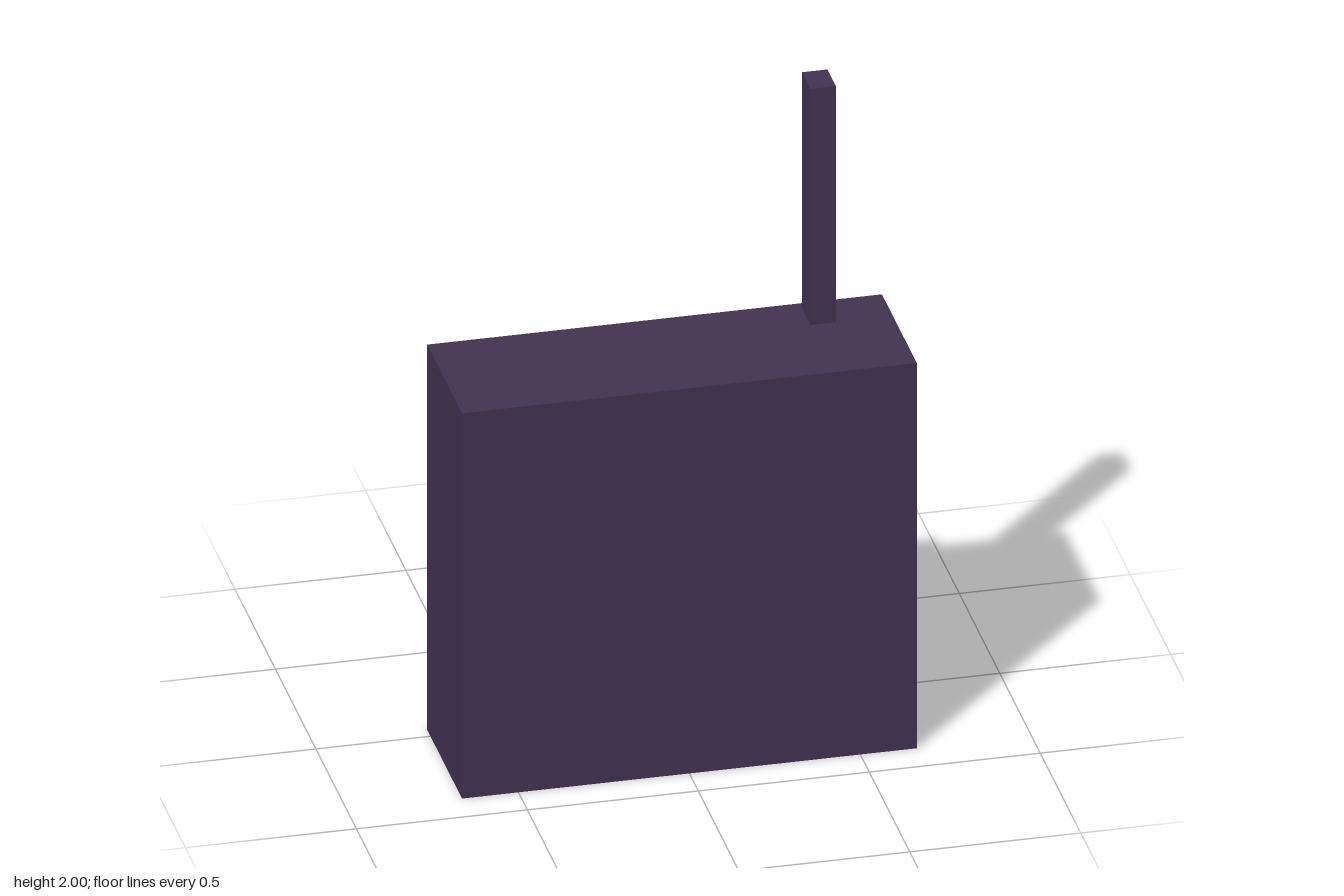
import * as THREE from 'three';

const CY = 0.62;            // height of the housing's centre
const OUT = 0.416, IN = 0.262; // half sizes of the frame and its opening
const FACE = -0.21, FLOOR = 0.04;

const paint = (color, side = THREE.FrontSide) =>
  new THREE.MeshStandardMaterial({ color, side, flatShading: true });

function add(parent, name, geometry, material) {
  const mesh = new THREE.Mesh(geometry, material);
  mesh.name = name;
  parent.add(mesh);
  return mesh;
}

function fromPoints(points) {
  const geometry = new THREE.BufferGeometry().setFromPoints(points);
  geometry.computeVertexNormals();
  return geometry;
}

// Joins rectangular rings [halfWidth, halfHeight, z] running from front to back
function loft(rings) {
  const corners = [[1, 1], [-1, 1], [-1, -1], [1, -1]];
  const at = ([w, h, z], i) =>
    new THREE.Vector3(corners[i % 4][0] * w, CY + corners[i % 4][1] * h, z);
  const points = [];
  for (let r = 0; r + 1 < rings.length; r++) {
    for (let i = 0; i < 4; i++) {
      const a = at(rings[r], i), b = at(rings[r + 1], i);
      const c = at(rings[r + 1], i + 1), d = at(rings[r], i + 1);
      points.push(a, b, c, a, c, d);
    }
  }
  return fromPoints(points);
}

// Slanted bands along a strip; place(u, v) maps length and 0..1 width to space
function stripes(length, period, slant, start, place) {
  const points = [];
  const p = (u, v) => place(THREE.MathUtils.clamp(u, 0, length), v);
  for (let u = start - period; u < length + period; u += period) {
    const e = u + period / 2;
    const a = p(u, 0), b = p(e, 0), c = p(e + slant, 1), d = p(u + slant, 1);
    points.push(a, b, c, a, c, d);
  }
  return fromPoints(points);
}

export function createModel() {
  const model = new THREE.Group();
  model.name = 'device';
  const purple = paint(0x433454);
  const grey = paint(0x67676b);
  const green = paint(0x43904a, THREE.DoubleSide);
  const red = paint(0x934242);

  // Housing with its open back
  add(model, 'housing', loft([
    [0, 0, 0.39], [0.665, 0.62, 0.39], [0.665, 0.62, -0.04],
  ]), purple);

  // Sloped back plate, raised frame and recess
  add(model, 'backFrame', loft([
    [0.665, 0.62, -0.04], [OUT, OUT, -0.063], [OUT, OUT, FACE],
    [IN, IN, FACE], [IN, IN, FLOOR], [0, 0, FLOOR],
  ]), grey);

  // Antenna
  add(model, 'antenna', new THREE.BoxGeometry(0.074, 0.78, 0.104), purple)
    .position.set(0.461, 1.61, 0.043);

  // Warning stripes on the frame face and the recess walls
  const band = new THREE.Group();
  band.name = 'warningStripes';
  model.add(band);
  const lift = 0.002;
  for (const s of [1, -1]) {
    const across = v => OUT + (IN - OUT) * v;
    const deep = v => FACE + (FLOOR - FACE) * v;
    const V = (x, y, z) => new THREE.Vector3(x, y, z);
    add(band, 'sideStripes', stripes(2 * OUT, 0.236, 0.12, 0,
      (u, v) => V(s * across(v), CY + OUT - u, FACE - lift)), green);
    add(band, 'crossStripes', stripes(2 * IN, 0.25, -0.12 * s, 0,
      (u, v) => V(IN - u, CY + s * across(v), FACE - lift)), green);
    add(band, 'sideWallStripes', stripes(2 * IN, 0.26, 0.1, 0,
      (u, v) => V(s * (IN - lift), CY + IN - u, deep(v))), green);
    add(band, 'crossWallStripes', stripes(2 * IN, 0.26, -0.1 * s, 0,
      (u, v) => V(IN - u, CY + s * (IN - lift), deep(v))), green);
  }

  // Five-sided faceted knob, its axis pointing backwards
  const profile = [[0, -0.156], [0.156, -0.104], [0.222, 0], [0.156, 0.104], [0, 0.156]]
    .map(([r, h]) => new THREE.Vector2(r, h));
  const knob = add(model, 'knob', new THREE.LatheGeometry(profile, 5), red);
  knob.rotation.x = -Math.PI / 2;
  knob.geometry.rotateY(Math.PI);
  knob.position.set(0.012, 0.609, -0.237);

  return model;
}
